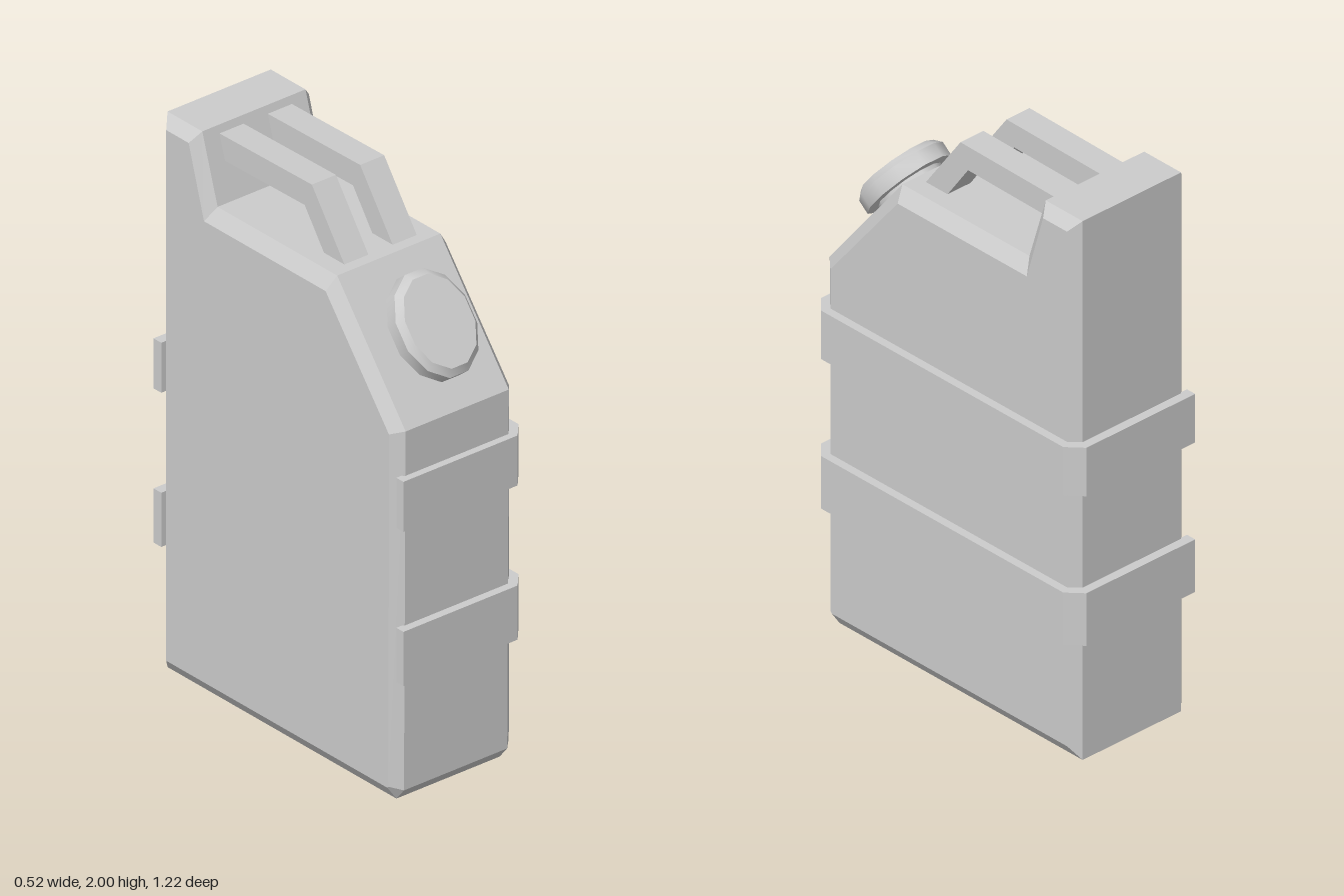
import * as THREE from 'three';
import { toCreasedNormals } from 'three/addons/utils/BufferGeometryUtils.js';

const CX = -0.017; // middle of the can across its width
const vec = (list) => list.map(([x, y]) => new THREE.Vector2(x, y));
const material = () => new THREE.MeshStandardMaterial({ color: 0xcccccc, flatShading: true });

function add(parent, name, geometry, mat = material()) {
  const mesh = new THREE.Mesh(geometry, mat);
  mesh.name = name;
  parent.add(mesh);
  return mesh;
}

// Chamfered can: four [z, y] outlines lofted along x and closed by side faces
function bodyGeometry() {
  const outer = [[-0.58, 0], [0.54, 0], [0.577, 0.045], [0.585, 1.34],
    [0.25, 1.76], [-0.335, 1.76], [-0.41, 2], [-0.58, 2]];
  const inset = [[-0.545, 0.05], [0.538, 0.05], [0.543, 0.056], [0.545, 1.325],
    [0.235, 1.71], [-0.36, 1.71], [-0.435, 1.96], [-0.545, 1.96]];
  const rings = [[-0.265, inset], [-0.23, outer], [0.195, outer], [0.23, inset]]
    .map(([x, pts]) => pts.map(([z, y]) => [x, y, z]));
  const pos = [];
  const tri = (a, b, c) => pos.push(...a, ...b, ...c);
  for (let r = 0; r < 3; r++) {
    const a = rings[r], b = rings[r + 1];
    for (let i = 0; i < a.length; i++) {
      const j = (i + 1) % a.length;
      tri(a[i], b[i], b[j]);
      tri(a[i], b[j], a[j]);
    }
  }
  for (const [i, j, k] of THREE.ShapeUtils.triangulateShape(vec(inset), [])) {
    tri(rings[0][i], rings[0][j], rings[0][k]);
    tri(rings[3][i], rings[3][k], rings[3][j]);
  }
  const g = new THREE.BufferGeometry();
  g.setAttribute('position', new THREE.Float32BufferAttribute(pos, 3));
  g.computeVertexNormals();
  return g;
}

export function createModel() {
  const can = new THREE.Group();
  can.name = 'jerryCan';
  add(can, 'body', bodyGeometry());

  // Two bent handle bars, drawn in [z, y] and extruded across x
  const barShape = new THREE.Shape(vec([[0.22, 1.745], [0.05, 1.98], [-0.43, 1.973],
    [-0.41, 1.886], [0.015, 1.892], [0.12, 1.745]]));
  for (const [name, x] of [['rightHandleBar', -0.067], ['leftHandleBar', 0.132]]) {
    const g = new THREE.ExtrudeGeometry(barShape, { depth: 0.099, bevelEnabled: false });
    add(can, name, g.rotateY(-Math.PI / 2)).position.x = x;
  }

  // Straps around the front, left side and back, drawn in [x, z]
  const strapShape = new THREE.Shape(vec([
    [-0.26, 0.61], [0.21, 0.61], [0.26, 0.555], [0.26, -0.56], [0.21, -0.613], [-0.26, -0.613],
    [-0.26, -0.575], [0.195, -0.575], [0.228, -0.54], [0.228, 0.54], [0.195, 0.575], [-0.26, 0.575]]));
  for (const [name, bottom, top] of [['lowerStrap', 0.445, 0.64], ['upperStrap', 1.0, 1.18]]) {
    const g = new THREE.ExtrudeGeometry(strapShape, { depth: top - bottom, bevelEnabled: false });
    add(can, name, g.rotateX(Math.PI / 2)).position.y = top;
  }

  // Neck and oval screw cap, square to the sloping shoulder
  const profile = vec([[0.11, -0.03], [0.11, 0.04], [0.148, 0.04], [0.148, 0.09], [0.128, 0.113], [0, 0.113]]);
  const capGeometry = toCreasedNormals(new THREE.LatheGeometry(profile, 12, Math.PI / 12), 0.6);
  const cap = add(can, 'cap', capGeometry, new THREE.MeshStandardMaterial({ color: 0xcccccc }));
  cap.scale.z = 1.24;
  cap.rotation.x = Math.atan2(0.782, 0.624);
  cap.position.set(CX, 1.556, 0.4125);

  return can;
}
